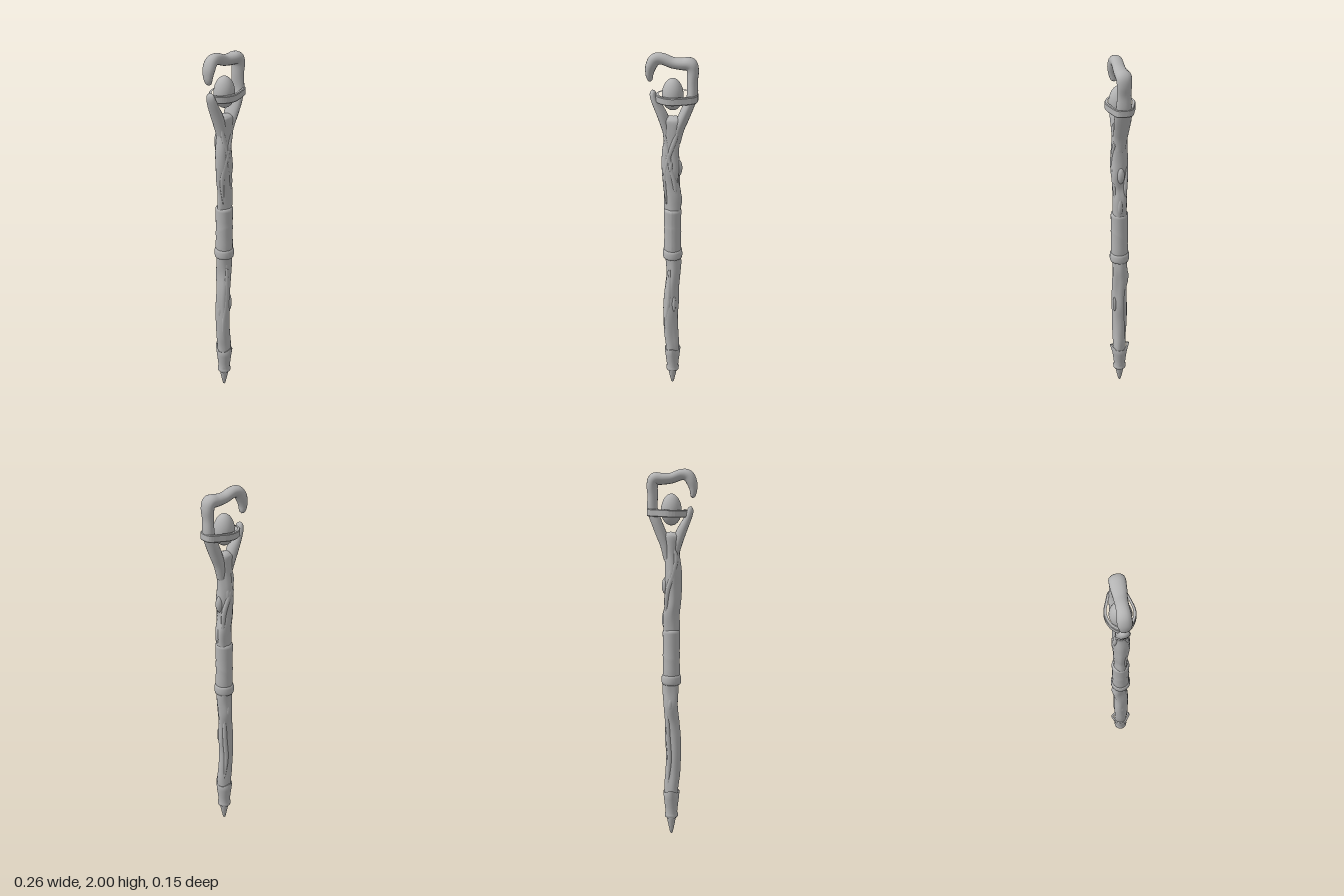
import * as THREE from 'three';

const stone = new THREE.MeshStandardMaterial({ color: 0xb4b4b4 });
stone.name = 'plain grey';

function add(group, name, geometry) {
  const mesh = new THREE.Mesh(geometry, stone);
  mesh.name = name;
  group.add(mesh);
  return mesh;
}

// Smooth sweep through sections [x, y, z, half width in the xy plane, half depth in z].
// ridge(angle, y) scales the cross-section to give bark and knots.
function sweep(sections, steps, sides, ridge = () => 1) {
  const path = new THREE.CatmullRomCurve3(sections.map(s => new THREE.Vector3(s[0], s[1], s[2])), false, 'catmullrom', 0.5);
  const size = new THREE.CatmullRomCurve3(sections.map(s => new THREE.Vector3(s[3], s[4], 0)), false, 'catmullrom', 0.4);
  const pos = [], index = [];
  for (let i = 0; i <= steps; i++) {
    const t = i / steps;
    const c = path.getPoint(t), r = size.getPoint(t), d = path.getTangent(t);
    const l = Math.hypot(d.x, d.y) || 1, nx = d.y / l, ny = -d.x / l;
    for (let j = 0; j < sides; j++) {
      const a = j / sides * Math.PI * 2, k = ridge(a, c.y);
      const u = Math.max(r.x, 0.001) * Math.cos(a) * k, w = Math.max(r.y, 0.001) * Math.sin(a) * k;
      pos.push(c.x + nx * u, c.y + ny * u, c.z + w);
      if (i < steps) {
        const n = (j + 1) % sides, p = i * sides + j, q = i * sides + n;
        index.push(p, p + sides, q, q, p + sides, q + sides);
      }
    }
  }
  const g = new THREE.BufferGeometry();
  g.setAttribute('position', new THREE.Float32BufferAttribute(pos, 3));
  g.setIndex(index);
  g.computeVertexNormals();
  return g;
}

// Twisting shallow grooves
const bark = (a, y) => 1 + 0.05 * Math.sin(3 * a + 4 * y) + 0.035 * Math.sin(5 * a - 7 * y + 1) + 0.02 * Math.sin(2 * a + 23 * y);
const worn = (a, y) => 1 + 0.04 * Math.sin(3 * a + 9 * y) + 0.02 * Math.sin(2 * a - 26 * y);

export function createModel() {
  const staff = new THREE.Group();
  staff.name = 'staff';

  // Crooked wooden shaft
  add(staff, 'lowerShaft', sweep([
    [0, 0.1, 0, 0.03, 0.03], [0, 0.27, 0, 0.038, 0.036], [-0.008, 0.36, 0, 0.04, 0.037],
    [-0.013, 0.47, 0, 0.041, 0.037], [-0.01, 0.56, 0, 0.042, 0.037], [-0.006, 0.66, 0, 0.038, 0.038],
    [0.002, 0.75, -0.006, 0.038, 0.042], [0.004, 0.83, -0.002, 0.042, 0.039], [0, 0.92, 0, 0.042, 0.042]
  ], 60, 24, bark));
  add(staff, 'upperShaft', sweep([
    [0, 1.1, 0, 0.04, 0.04], [0.002, 1.18, 0, 0.043, 0.036], [0.003, 1.25, 0, 0.044, 0.036],
    [-0.008, 1.32, 0, 0.041, 0.036], [-0.008, 1.4, 0.003, 0.045, 0.041], [-0.01, 1.48, 0, 0.043, 0.042],
    [-0.004, 1.56, 0, 0.041, 0.037], [0, 1.61, 0, 0.046, 0.037], [0.003, 1.655, 0, 0.052, 0.036],
    [0.003, 1.672, 0, 0.035, 0.025], [0.003, 1.68, 0, 0.001, 0.001]
  ], 60, 24, bark));

  // Raised strands running up into the fork
  const strands = [
    [[-0.03, 1.2, 0.022], [-0.035, 1.33, 0.018], [-0.02, 1.45, 0.032], [0.012, 1.56, 0.028], [0.045, 1.66, 0.018]],
    [[0.022, 1.2, 0.022], [0.012, 1.33, 0.028], [-0.012, 1.45, 0.033], [-0.028, 1.55, 0.024], [-0.05, 1.66, 0.018]],
    [[0.025, 1.2, -0.022], [0.022, 1.35, -0.026], [-0.01, 1.47, -0.034], [-0.02, 1.57, -0.026], [0.04, 1.68, -0.02]],
    [[-0.025, 0.3, 0.024], [-0.032, 0.45, 0.024], [-0.02, 0.58, 0.028], [-0.012, 0.7, 0.028], [-0.01, 0.85, 0.028]],
    [[0.018, 0.3, -0.024], [0.008, 0.45, -0.028], [0.016, 0.6, -0.026], [0.02, 0.85, -0.026]]
  ];
  for (const s of strands) {
    const last = s.length - 1;
    add(staff, 'barkStrand', sweep(s.map((p, i) => [...p, i % last ? 0.013 : 0.004, i % last ? 0.012 : 0.004]), 24, 8));
  }

  // Small knots where twigs broke off: x, y, z, radius, height
  for (const [x, y, z, r, h] of [[0.03, 1.4, 0, 0.02, 0.045], [0.035, 1.22, 0.005, 0.015, 0.05],
    [0.012, 0.58, 0.03, 0.011, 0.05], [-0.015, 0.6, 0.03, 0.01, 0.05], [0.005, 0.76, -0.034, 0.016, 0.04],
    [-0.033, 0.53, 0, 0.02, 0.06], [-0.005, 1.42, 0.032, 0.014, 0.04], [0, 1.46, -0.03, 0.014, 0.05]]) {
    const knot = add(staff, 'knot', new THREE.SphereGeometry(r, 12, 10));
    knot.scale.y = h / r;
    knot.position.set(x, y, z);
  }

  // Short left prong and long right prong curling into the hooked head
  add(staff, 'shortProng', sweep([
    [-0.015, 1.54, 0, 0.02, 0.025], [-0.028, 1.61, 0, 0.026, 0.033], [-0.052, 1.68, 0, 0.026, 0.035],
    [-0.078, 1.735, 0, 0.021, 0.032], [-0.094, 1.775, 0, 0.018, 0.027], [-0.098, 1.798, 0, 0.013, 0.02],
    [-0.1, 1.81, 0, 0.001, 0.001]
  ], 32, 16, worn));
  add(staff, 'hookedHead', sweep([
    [0.018, 1.54, 0, 0.022, 0.025], [0.03, 1.61, 0, 0.026, 0.035], [0.052, 1.67, 0, 0.028, 0.04],
    [0.076, 1.73, 0, 0.028, 0.042], [0.096, 1.79, 0, 0.027, 0.038], [0.096, 1.86, 0, 0.026, 0.034],
    [0.098, 1.915, 0, 0.029, 0.036], [0.084, 1.945, 0, 0.033, 0.038], [0.045, 1.946, 0, 0.029, 0.036],
    [0, 1.95, 0, 0.027, 0.031], [-0.05, 1.967, 0, 0.028, 0.029], [-0.085, 1.962, 0, 0.03, 0.032],
    [-0.105, 1.93, 0, 0.027, 0.034], [-0.113, 1.89, 0, 0.019, 0.028], [-0.11, 1.86, 0, 0.012, 0.018],
    [-0.108, 1.85, 0, 0.001, 0.001]
  ], 80, 18, worn));

  // Egg-shaped stone resting in the fork
  const egg = [];
  for (let i = 0; i <= 20; i++) {
    const a = -Math.PI / 2 + i / 20 * Math.PI;
    egg.push(new THREE.Vector2(Math.max(0.0001, 0.053 * Math.cos(a) * (1 - 0.06 * Math.sin(a))), 1.792 + 0.08 * Math.sin(a)));
  }
  add(staff, 'eggStone', new THREE.LatheGeometry(egg, 28));

  // Flat band holding the stone, pinched towards the long prong
  const loop = [[0.125, 0], [0.118, 0.035], [0.07, 0.057], [-0.005, 0.072], [-0.055, 0.05], [-0.08, 0.018],
    [-0.08, -0.018], [-0.05, -0.055], [0.01, -0.075], [0.075, -0.056], [0.118, -0.035]];
  const outline = inset => new THREE.CatmullRomCurve3(loop.map(([x, z]) =>
    new THREE.Vector3(0.015 + (x - 0.015) * (1 - inset / 0.1), -z * (1 - inset / 0.072), 0)), true)
    .getPoints(44).slice(0, -1).map(p => new THREE.Vector2(p.x, p.y));
  const bandShape = new THREE.Shape(outline(0.003));
  bandShape.holes.push(new THREE.Path(outline(0.014)));
  const bandGeo = new THREE.ExtrudeGeometry(bandShape, { depth: 0.03, bevelThickness: 0.004, bevelSize: 0.003, bevelSegments: 1 });
  bandGeo.rotateX(-Math.PI / 2);
  const band = add(staff, 'holdingBand', bandGeo);
  band.position.y = 1.76;
  band.rotation.z = 0.03;

  // Wrapped grip with overlapping layers
  const grip = [[0.035, 0.87], [0.046, 0.875], [0.046, 0.96], [0.044, 1.0], [0.0465, 1.03], [0.0445, 1.045],
    [0.045, 1.09], [0.046, 1.15], [0.045, 1.163], [0.036, 1.168]];
  const gripGeo = new THREE.LatheGeometry(grip.map(p => new THREE.Vector2(...p)), 24);
  const gp = gripGeo.attributes.position;
  for (let i = 0; i < gp.count; i++) {
    const a = Math.atan2(gp.getZ(i), gp.getX(i)), y = gp.getY(i);
    if (y > 0.98 && y < 1.07) gp.setY(i, y + 0.025 * Math.sin(a)); // slanting lap
  }
  gripGeo.computeVertexNormals();
  add(staff, 'grip', gripGeo);
  const collar = [[0.04, 0.868], [0.05, 0.872], [0.053, 0.885], [0.052, 0.91], [0.048, 0.922], [0.04, 0.925]];
  add(staff, 'gripCollar', new THREE.LatheGeometry(collar.map(p => new THREE.Vector2(...p)), 24));

  // Flared ferrule whose rim rises to points at front and back
  const ferrule = [[0.03, 0.105], [0.036, 0.108], [0.037, 0.122], [0.032, 0.13], [0.036, 0.17], [0.042, 0.22],
    [0.045, 0.255], [0.034, 0.25]];
  const ferruleGeo = new THREE.LatheGeometry(ferrule.map(p => new THREE.Vector2(...p)), 32);
  const fp = ferruleGeo.attributes.position;
  for (let i = 0; i < fp.count; i++) {
    if (fp.getY(i) < 0.24) continue;
    const point = Math.pow(Math.abs(fp.getZ(i)) / Math.hypot(fp.getX(i), fp.getZ(i)), 6);
    fp.setY(i, fp.getY(i) + 0.022 * point);
    fp.setZ(i, fp.getZ(i) * (1 + 0.25 * point));
  }
  ferruleGeo.computeVertexNormals();
  add(staff, 'ferrule', ferruleGeo);

  // Pointed foot
  const tip = [[0.0001, 0], [0.007, 0.008], [0.014, 0.04], [0.021, 0.075], [0.026, 0.11]];
  add(staff, 'tip', new THREE.LatheGeometry(tip.map(p => new THREE.Vector2(...p)), 20));

  return staff;
}
